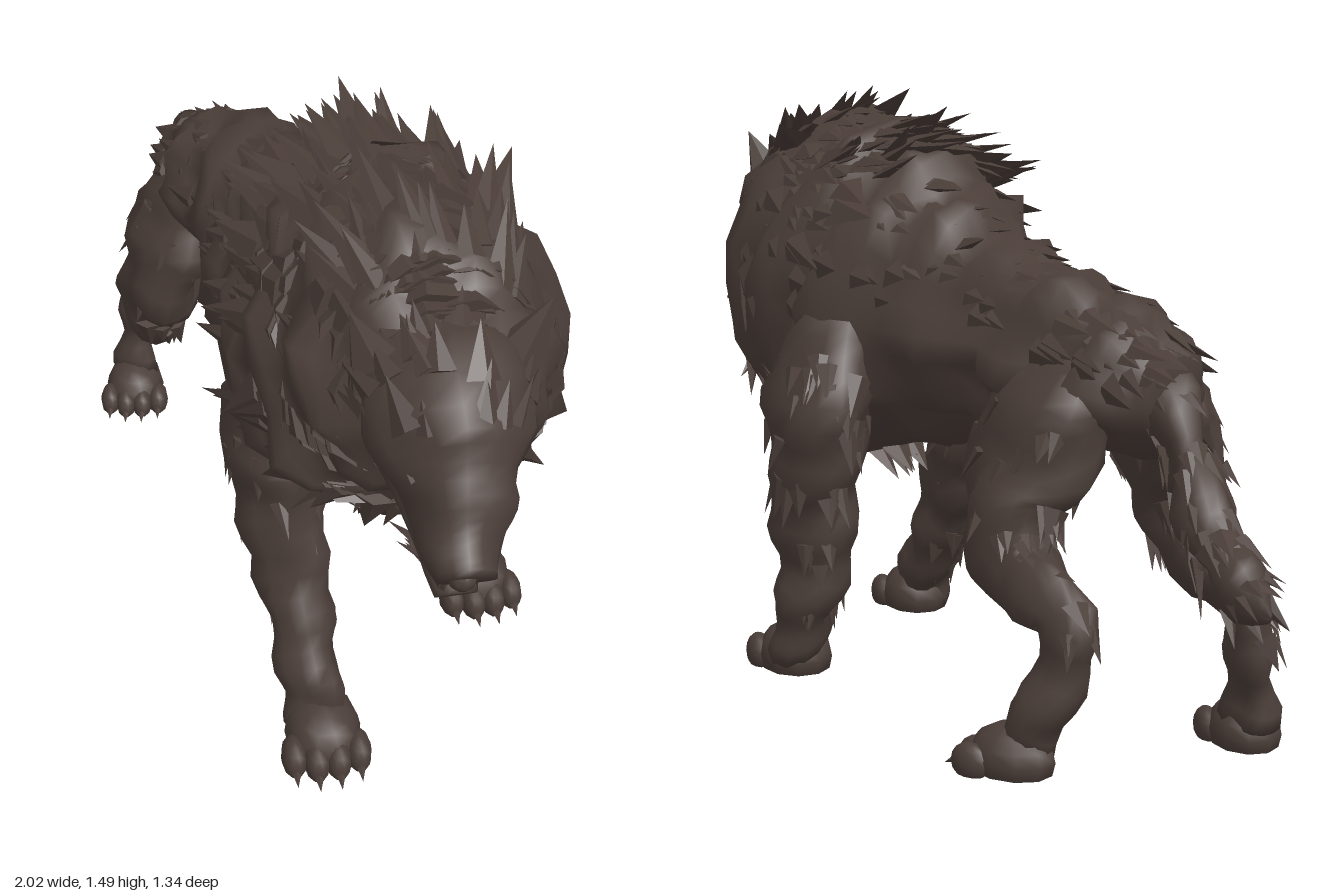
import * as THREE from 'three';
import { mergeGeometries } from 'three/addons/utils/BufferGeometryUtils.js';

const V = (x, y, z) => new THREE.Vector3(x, y, z);
let seed = 7;
const rnd = () => (seed = (seed * 16807) % 2147483647) / 2147483647;
const between = (a, b) => a + (b - a) * rnd();

// A lofted body: rings are [x, y, z, halfWidth, halfHeight], side is the width direction,
// taper narrows the upper half. Returns a sampler of surface point, normal and path direction.
function makeLoft(rings, side, taper = 0) {
  const path = new THREE.CatmullRomCurve3(rings.map(r => V(r[0], r[1], r[2])));
  const size = new THREE.CatmullRomCurve3(rings.map(r => V(r[3], r[4], 0)));
  return (t, a, k = 1) => {
    const c = path.getPoint(t), s = size.getPoint(t), T = path.getTangent(t);
    const U = side.clone().cross(T).normalize(), S = T.clone().cross(U);
    const out = S.multiplyScalar(Math.cos(a) * s.x * (1 - taper * Math.sin(a))).addScaledVector(U, Math.sin(a) * s.y);
    return { p: c.addScaledVector(out, k), n: out.clone().normalize(), T };
  };
}

// Closed skin over a loft, with muscle-like lumps
function skin(loft, segs, sides, lump) {
  const pos = [], idx = [];
  for (let i = -1; i <= segs + 1; i++) {
    const t = Math.min(1, Math.max(0, i / segs)), k = i < 0 || i > segs ? 0 : 1;
    for (let j = 0; j < sides; j++) {
      const { p, n } = loft(t, j / sides * Math.PI * 2, k);
      const w = Math.sin(p.x * 29 + p.y * 17) + Math.sin(p.y * 37 - p.z * 23) + Math.sin(p.z * 41 + p.x * 13);
      if (k) p.addScaledVector(n, w * lump * 0.2);
      pos.push(p.x, Math.max(p.y, 0.005), p.z);
    }
  }
  for (let i = 0; i < segs + 2; i++) for (let j = 0; j < sides; j++) {
    const a = i * sides + j, b = i * sides + (j + 1) % sides;
    idx.push(a, a + sides, b, b, a + sides, b + sides);
  }
  const g = new THREE.BufferGeometry();
  g.setAttribute('position', new THREE.Float32BufferAttribute(pos, 3));
  g.setIndex(idx);
  g.computeVertexNormals();
  return g;
}

// Flattened spike with its base at p, pointing along dir, its flat face towards n
function spike(p, dir, len, r, flat = 0.5, n = V(0, 1, 0), sides = 4) {
  const g = new THREE.ConeGeometry(r, len, sides).translate(0, len / 2, 0).scale(1, 1, flat);
  const Y = dir.clone().normalize(), X = Y.clone().cross(n).normalize();
  const m = new THREE.Matrix4().makeBasis(X, Y, X.clone().cross(Y)).setPosition(p);
  const out = g.applyMatrix4(m).toNonIndexed();
  out.computeVertexNormals();
  return out;
}

// Random fur tufts lying along a loft; flow is +1 or -1 along its path
function fur(loft, count, [t0, t1], [a0, a1], [l0, l1], flow, lift, width = 0.28) {
  const list = [];
  for (let i = 0; i < count; i++) {
    const { p, n, T } = loft(between(t0, t1), between(a0, a1), 0.96);
    const dir = T.clone().multiplyScalar(flow).addScaledVector(n, lift * between(0.5, 1.5));
    dir.add(V(between(-0.2, 0.2), between(-0.25, 0.1), between(-0.2, 0.2)));
    const len = between(l0, l1);
    list.push(spike(p, dir, len, len * width * between(0.8, 1.4), 0.4, n));
  }
  return mergeGeometries(list);
}

// Paw with four toes and claws, flat underneath
function paw(x, z, dx, dz, s) {
  const list = [];
  const ball = (px, py, pz, a, b, c) => {
    const g = new THREE.SphereGeometry(1, 10, 8).scale(a, b, c).translate(px, py, pz);
    const q = g.attributes.position;
    for (let i = 0; i < q.count; i++) q.setY(i, Math.max(0, q.getY(i)));
    list.push(g.toNonIndexed());
  };
  ball(0, 0.04, -0.02, 0.09, 0.085, 0.115);
  for (let i = 0; i < 4; i++) {
    const px = (i - 1.5) * 0.05, pz = 0.075 - Math.abs(i - 1.5) * 0.018;
    ball(px, 0.03, pz, 0.031, 0.05, 0.055);
    list.push(spike(V(px, 0.035, pz + 0.035), V(0, -0.5, 1), 0.05, 0.015, 0.8));
  }
  return mergeGeometries(list).scale(s, s, s).rotateY(Math.atan2(dx, dz)).translate(x, 0, z);
}

export function createModel() {
  seed = 7;
  const model = new THREE.Group();
  const brown = new THREE.MeshStandardMaterial({ color: 0x4b3e39 });
  brown.name = 'dark brown fur';
  const add = (name, g) => {
    const m = new THREE.Mesh(g, brown);
    m.name = name;
    model.add(m);
  };
  const TAU = Math.PI * 2, S = V(-0.5, 0, 0.86), HS = V(-0.68, 0, 0.73);

  // Torso running diagonally from the rump to the neck
  const torso = makeLoft([
    [-0.66, 0.8, -0.34, 0.05, 0.07], [-0.57, 0.82, -0.31, 0.14, 0.14], [-0.42, 0.86, -0.24, 0.18, 0.175],
    [-0.2, 0.9, -0.15, 0.19, 0.19], [0.03, 0.91, -0.03, 0.26, 0.28], [0.25, 0.95, 0.07, 0.33, 0.4],
    [0.42, 1.0, 0.15, 0.35, 0.42], [0.56, 1.08, 0.24, 0.32, 0.36], [0.68, 1.1, 0.32, 0.26, 0.28],
    [0.76, 1.1, 0.39, 0.17, 0.17], [0.82, 1.08, 0.44, 0.06, 0.06]], S, 0.14);
  add('torso', skin(torso, 40, 24, 0.09));
  add('maneFur', fur(torso, 330, [0.5, 0.86], [0, TAU], [0.1, 0.18], -1, 0.25));
  add('crestFur', fur(torso, 100, [0.5, 0.84], [0.8, 2.3], [0.15, 0.23], -1, 0.55, 0.22));
  add('backFur', fur(torso, 100, [0.06, 0.5], [0.1, 3], [0.06, 0.12], -1, 0.12));
  add('chestFur', fur(torso, 50, [0.66, 0.86], [3.9, 5.5], [0.08, 0.14], -0.5, 0.5));

  // Head: skull and muzzle, nose, open lower jaw
  const head = makeLoft([
    [0.64, 1.14, 0.32, 0.17, 0.16], [0.76, 1.14, 0.42, 0.18, 0.165], [0.83, 1.07, 0.48, 0.14, 0.14],
    [0.885, 0.995, 0.54, 0.1, 0.105], [0.93, 0.94, 0.585, 0.08, 0.085], [0.96, 0.905, 0.615, 0.06, 0.06]], HS);
  add('head', skin(head, 18, 16, 0.04));
  add('headFur', fur(head, 60, [0.05, 0.36], [-0.9, 4], [0.07, 0.13], -1, 0.35));
  add('nose', new THREE.SphereGeometry(0.032, 10, 8).translate(0.962, 0.93, 0.625));
  const jaw = makeLoft([
    [0.7, 0.96, 0.38, 0.13, 0.1], [0.79, 0.86, 0.45, 0.085, 0.055], [0.85, 0.79, 0.495, 0.065, 0.042],
    [0.885, 0.75, 0.525, 0.042, 0.028]], HS);
  add('lowerJaw', skin(jaw, 10, 12, 0.02));
  add('beardFur', fur(jaw, 35, [0, 0.7], [3.7, 5.7], [0.05, 0.1], -0.8, 0.5));

  // Ears, brows and teeth mirrored across the head's own side direction
  const ears = [], brows = [], teeth = [], forward = V(0.73, 0, 0.68);
  for (const s of [1, -1]) {
    const place = (x, y, z, w) => V(x, y, z).addScaledVector(HS, s * w);
    ears.push(spike(place(0.74, 1.19, 0.39, 0.13), V(0, 1, 0).addScaledVector(HS, s * 0.45), 0.19, 0.085, 0.45, forward, 6));
    brows.push(spike(place(0.87, 1.08, 0.525, 0.07), V(-0.5, 0.4, -0.4).addScaledVector(HS, s * 0.4), 0.13, 0.035, 0.6));
    for (let i = 0; i < 4; i++) {
      const len = i === 3 ? 0.05 : 0.028;
      const up = head(0.75 + i * 0.06, -Math.PI / 2 + s * 0.7, 0.93).p;
      const low = jaw(0.55 + i * 0.12, Math.PI / 2 - s * 0.7, 0.93).p;
      teeth.push(spike(up, V(-0.2, -1, -0.2), len, 0.01, 1, forward), spike(low, V(0.2, 1, 0.2), len, 0.01, 1, forward));
    }
  }
  add('ears', mergeGeometries(ears));
  add('brows', mergeGeometries(brows));
  add('teeth', mergeGeometries(teeth));

  // Tail
  const tail = makeLoft([
    [-0.55, 0.88, -0.31, 0.07, 0.07], [-0.66, 0.78, -0.38, 0.055, 0.06], [-0.74, 0.64, -0.46, 0.045, 0.06],
    [-0.82, 0.53, -0.52, 0.055, 0.065], [-0.9, 0.46, -0.57, 0.05, 0.06], [-0.96, 0.43, -0.6, 0.012, 0.02]], S);
  add('tail', skin(tail, 18, 12, 0.04));
  add('tailFur', fur(tail, 55, [0.1, 0.85], [0, TAU], [0.06, 0.11], 1, 0.25));

  // Legs: [name, rings from hip to ankle, paw x, z, heading x, z, size]
  const legs = [
    ['frontLeftLeg', [[0.22, 0.85, 0.25, 0.1, 0.17], [0.19, 0.65, 0.3, 0.11, 0.19], [0.25, 0.5, 0.335, 0.1, 0.14],
      [0.36, 0.3, 0.41, 0.08, 0.1], [0.46, 0.14, 0.465, 0.07, 0.08], [0.5, 0.05, 0.49, 0.07, 0.07]], 0.53, 0.52, 0.7, 0.65, 1.03],
    ['frontRightLeg', [[0.38, 0.9, -0.12, 0.1, 0.17], [0.36, 0.7, -0.22, 0.115, 0.17], [0.37, 0.5, -0.23, 0.1, 0.125],
      [0.39, 0.3, -0.215, 0.08, 0.09], [0.44, 0.14, -0.195, 0.075, 0.08], [0.48, 0.05, -0.17, 0.07, 0.07]], 0.5, -0.145, 0.75, 0.6, 1.03],
    ['hindLeftLeg', [[-0.48, 0.86, -0.2, 0.1, 0.12], [-0.51, 0.72, -0.13, 0.11, 0.165], [-0.55, 0.55, -0.08, 0.09, 0.14],
      [-0.6, 0.43, -0.11, 0.075, 0.1], [-0.76, 0.35, -0.23, 0.05, 0.065], [-0.79, 0.22, -0.23, 0.05, 0.06],
      [-0.77, 0.07, -0.2, 0.055, 0.065]], -0.735, -0.15, 0.6, 0.7, 0.92],
    ['hindRightLeg', [[-0.4, 0.86, -0.31, 0.1, 0.12], [-0.34, 0.72, -0.37, 0.11, 0.18], [-0.28, 0.55, -0.42, 0.095, 0.15],
      [-0.33, 0.43, -0.49, 0.075, 0.1], [-0.49, 0.36, -0.57, 0.05, 0.07], [-0.46, 0.22, -0.575, 0.05, 0.06],
      [-0.39, 0.07, -0.58, 0.055, 0.06]], -0.35, -0.58, 0.95, 0.2, 0.92]];
  for (const [name, rings, x, z, dx, dz, s] of legs) {
    const leg = makeLoft(rings, S);
    add(name, skin(leg, 24, 14, 0.05));
    add(name + 'Fur', fur(leg, 20, [0.2, 0.8], [3.9, 5.5], [0.05, 0.09], 1, 0.3));
    add(name + 'ThighFur', fur(leg, 25, [0.1, 0.45], [0, TAU], [0.06, 0.11], 1, 0.12));
    add(name + 'Paw', paw(x, z, dx, dz, s));
  }
  return model;
}
